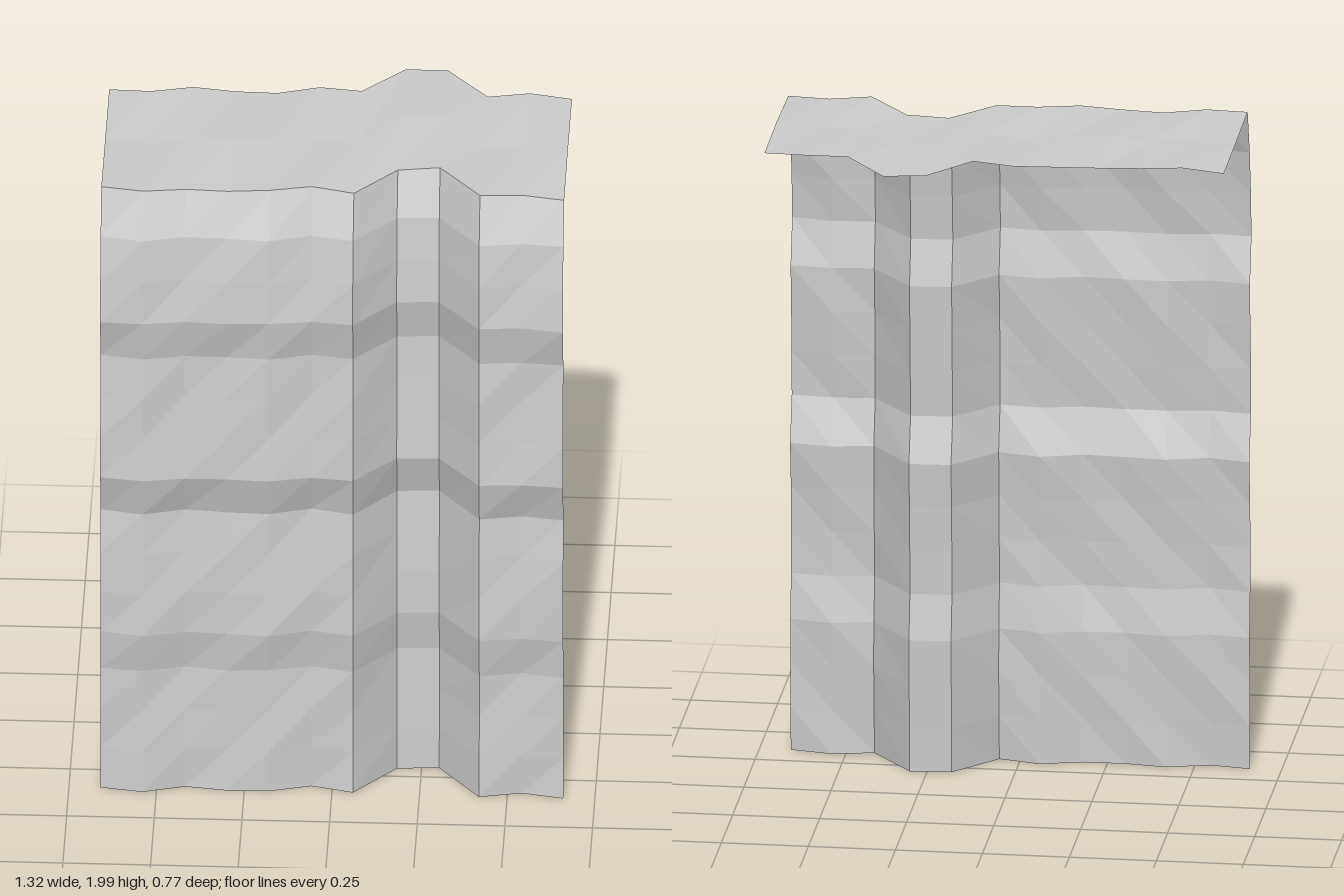
import * as THREE from 'three';

// Set-back of each vertical column of rock, measured at the top front edge
const COLUMNS = [0.29, 0.305, 0.28, 0.288, 0.288, 0.262, 0.282, 0.153, 0.146, 0.29, 0.274, 0.292];
// Bulge of each horizontal rock layer, bottom to top
const LAYERS = [0.055, 0.052, 0.047, 0.042, 0.063, 0.06, 0.052, 0.041, 0.079, 0.07, 0.062, 0.055, 0.083, 0.07, 0.052, 0];
const STEP_X = 0.12;
const STEP_Y = 1.99 / (LAYERS.length - 1);
const DEPTH = 0.53;

const columnX = (c) => (c - (COLUMNS.length - 1) / 2) * STEP_X;

// Height of the ledge, slightly uneven
const ledgeY = (c, r) => 1.99 + 0.005 * Math.sin(c * 1.5 + r * 2.1 + 1.2);

// Grid of flat facets from a point rule
function facetGrid(rows, pointAt) {
  const cols = COLUMNS.length;
  const positions = [];
  const index = [];
  for (let r = 0; r < rows; r++) {
    for (let c = 0; c < cols; c++) {
      positions.push(...pointAt(c, r));
      if (r < rows - 1 && c < cols - 1) {
        const a = r * cols + c;
        const d = a + cols;
        index.push(a, a + 1, d + 1, a, d + 1, d);
      }
    }
  }
  const indexed = new THREE.BufferGeometry();
  indexed.setAttribute('position', new THREE.Float32BufferAttribute(positions, 3));
  indexed.setIndex(index);
  const geometry = indexed.toNonIndexed();
  geometry.computeVertexNormals();
  return geometry;
}

export function createModel() {
  const group = new THREE.Group();
  group.name = 'cliff';
  const rock = new THREE.MeshStandardMaterial({ color: 0xcccccc, side: THREE.DoubleSide });
  rock.name = 'grey rock';

  // Upright face: columns and layers added together, with small diagonal ripples
  const top = LAYERS.length - 1;
  const face = new THREE.Mesh(facetGrid(LAYERS.length, (c, r) => {
    const smooth = c === 7 || c === 8 || r === top;
    const ripple = smooth ? 0 : 0.005 * Math.sin(c * 2.3 - r * 1.9);
    const y = r === top ? ledgeY(c, 0) : r * STEP_Y;
    return [columnX(c), y, COLUMNS[c] + LAYERS[r] + ripple];
  }), rock);
  face.name = 'cliffFace';
  group.add(face);

  // Ledge running back from the top edge with the same outline
  const ledge = new THREE.Mesh(facetGrid(3, (c, r) =>
    [columnX(c), ledgeY(c, r), COLUMNS[c] - r * DEPTH / 2]), rock);
  ledge.name = 'ledgeTop';
  group.add(ledge);

  return group;
}
